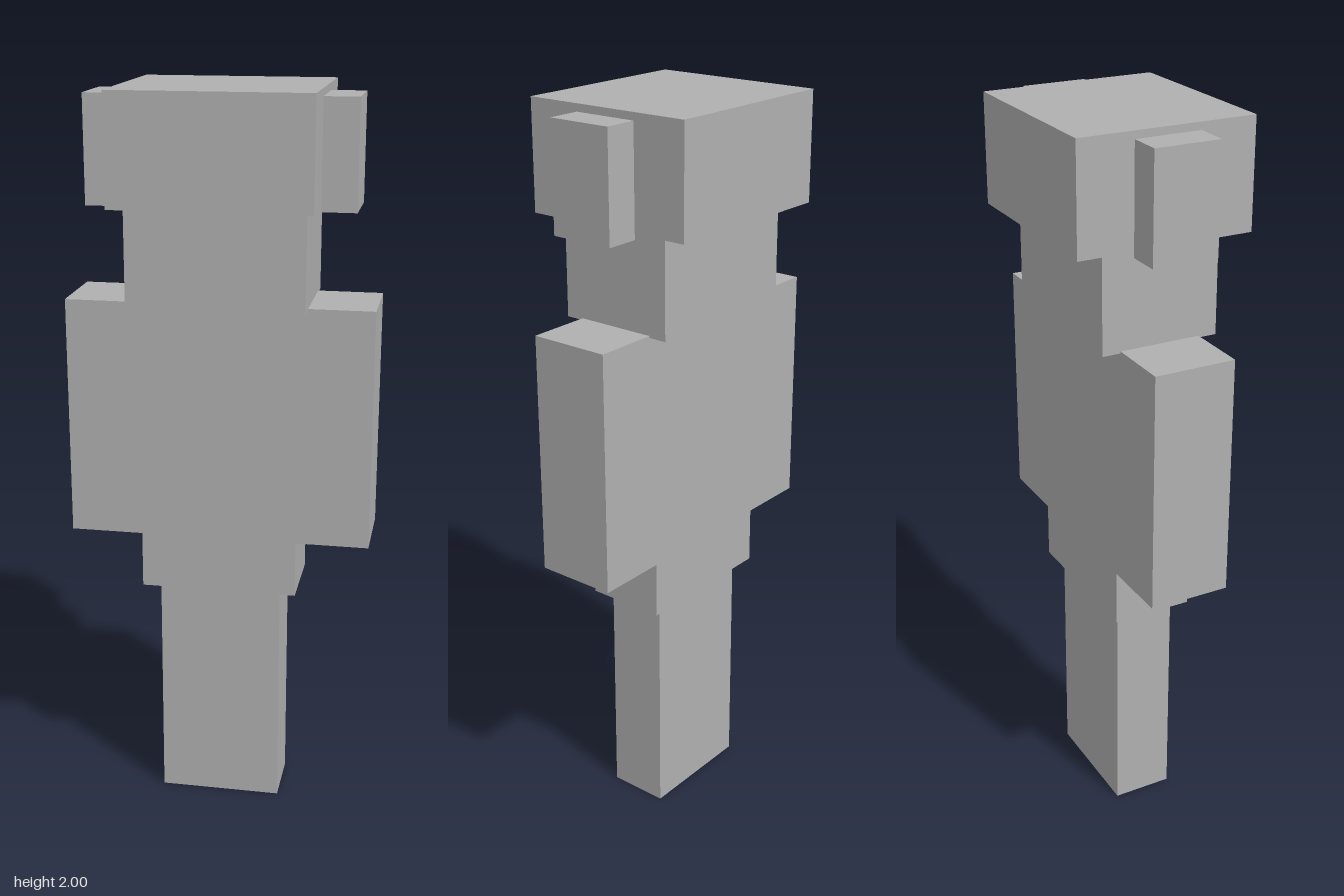
import * as THREE from 'three';

export function createModel() {
  const model = new THREE.Group();
  const grey = new THREE.MeshStandardMaterial({ color: 0xb0b0b0 });
  grey.name = 'plain grey';

  const add = (name, geometry, x = 0, y = 0) => {
    const mesh = new THREE.Mesh(geometry, grey);
    mesh.name = name;
    mesh.position.set(x, y, 0);
    model.add(mesh);
  };
  // Block given by width, depth, bottom and top heights
  const block = (name, width, depth, bottom, top, x = 0) =>
    add(name, new THREE.BoxGeometry(width, top - bottom, depth), x, (bottom + top) / 2);

  // Legs as a single post
  block('legs', 0.335, 0.167, 0, 0.645);

  // Torso and narrower hips in one T-shaped slab
  const half = [[0.213, 0.645], [0.213, 0.8], [0.41, 0.8], [0.41, 1.45]];
  const outline = [...half, ...half.map(([x, y]) => [-x, y]).reverse()];
  const shape = new THREE.Shape(outline.map(([x, y]) => new THREE.Vector2(x, y)));
  const torso = new THREE.ExtrudeGeometry(shape, { depth: 0.222, bevelEnabled: false });
  torso.translate(0, 0, -0.111);
  add('torso', torso);

  // Lower face and overhanging upper head
  block('lowerHead', 0.47, 0.323, 1.445, 1.71);
  block('upperHead', 0.522, 0.48, 1.71, 2);

  // Ears on both sides of the upper head
  for (const [name, side] of [['leftEar', 1], ['rightEar', -1]]) {
    block(name, 0.093, 0.178, 1.695, 1.98, side * 0.3065);
  }
  return model;
}
